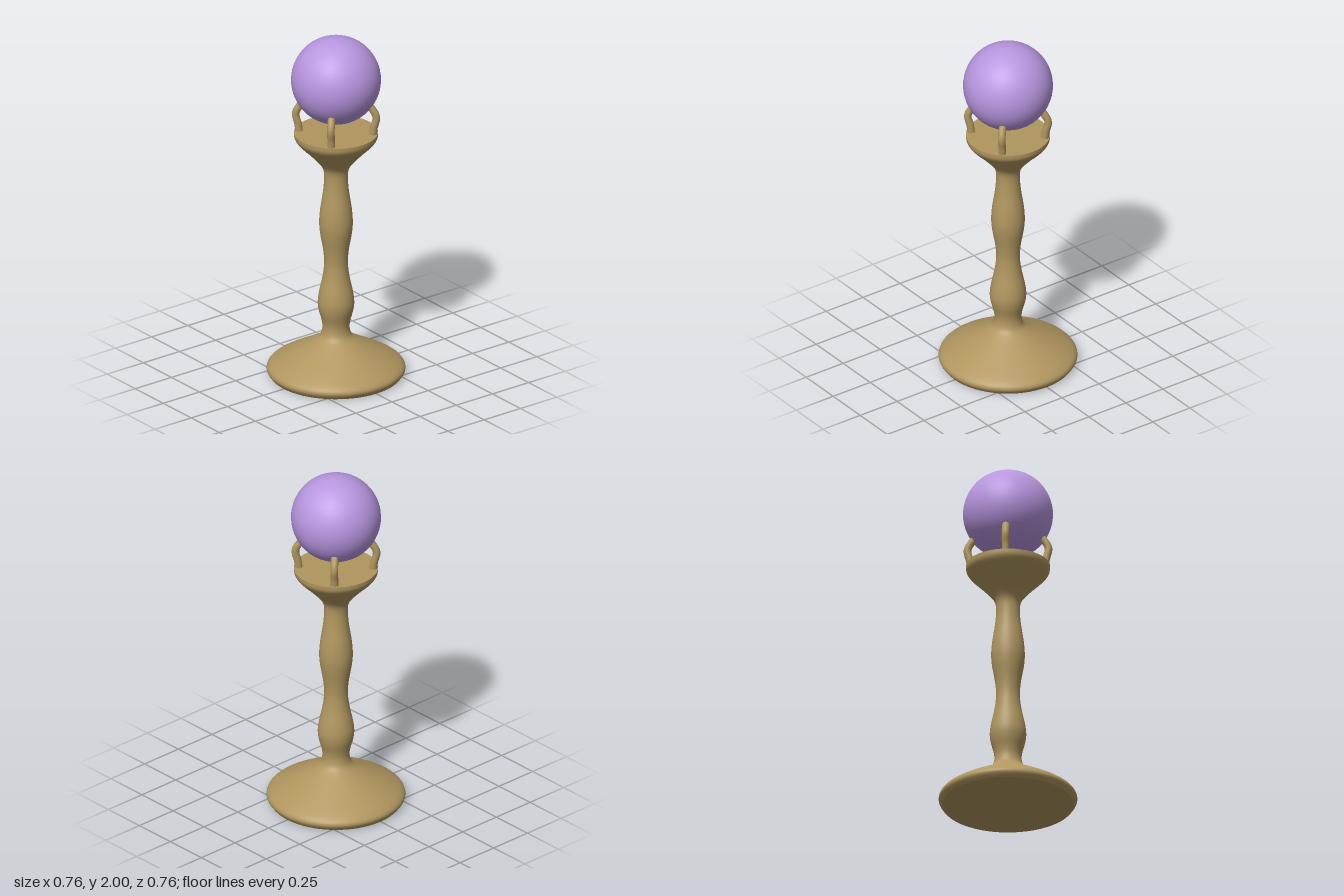
import * as THREE from 'three';

const brass = new THREE.MeshStandardMaterial({ color: 0xb0965f });
brass.name = 'brass';
const violet = new THREE.MeshStandardMaterial({ color: 0xb896e0 });
violet.name = 'violet';

function addMesh(parent, name, geometry, material) {
  const mesh = new THREE.Mesh(geometry, material);
  mesh.name = name;
  parent.add(mesh);
  return mesh;
}

const v2 = (p) => new THREE.Vector2(p[0], p[1]);

// Turned pedestal: foot, baluster stem and flared cup
function pedestalGeometry() {
  const curve = new THREE.SplineCurve([
    [0.36, 0.005], [0.379, 0.035], [0.365, 0.065], [0.3, 0.107], [0.2, 0.162], [0.125, 0.205],
    [0.088, 0.235], [0.075, 0.275], [0.078, 0.32], [0.094, 0.38], [0.1, 0.43],
    [0.093, 0.49], [0.074, 0.58], [0.065, 0.66], [0.07, 0.74], [0.087, 0.84],
    [0.092, 0.91], [0.086, 0.99], [0.071, 1.09], [0.065, 1.17], [0.071, 1.225],
    [0.1, 1.27], [0.15, 1.325], [0.2, 1.375], [0.226, 1.41], [0.23, 1.442],
  ].map(v2));
  return new THREE.LatheGeometry(curve.getPoints(110), 64);
}

// Bent claw in the x-y plane, leaning out and then in towards the ball
function addProng(parent, angle) {
  const prong = new THREE.Group();
  prong.name = 'prong';
  prong.rotation.y = angle;
  const path = new THREE.CatmullRomCurve3([
    [0.203, 1.43], [0.209, 1.48], [0.222, 1.535], [0.217, 1.56], [0.194, 1.598],
  ].map(([r, y]) => new THREE.Vector3(r, y, 0)));
  addMesh(prong, 'prongShaft', new THREE.TubeGeometry(path, 20, 0.021, 12), brass);
  const tip = addMesh(prong, 'prongTip', new THREE.SphereGeometry(0.021, 12, 8), brass);
  tip.position.set(0.194, 1.598, 0);
  parent.add(prong);
}

export function createModel() {
  const model = new THREE.Group();
  model.name = 'orbPedestal';

  addMesh(model, 'pedestal', pedestalGeometry(), brass);

  // Flat caps closing the turned body
  const underside = addMesh(model, 'underside', new THREE.CircleGeometry(0.36, 64), brass);
  underside.rotation.x = Math.PI / 2;
  underside.position.y = 0.005;
  const cupTop = addMesh(model, 'cupTop', new THREE.CircleGeometry(0.23, 64), brass);
  cupTop.rotation.x = -Math.PI / 2;
  cupTop.position.y = 1.442;

  // Four claws on the diagonals
  for (let i = 0; i < 4; i++) addProng(model, Math.PI / 4 + (i * Math.PI) / 2);

  const orb = addMesh(model, 'orb', new THREE.SphereGeometry(0.246, 48, 32), violet);
  orb.position.y = 1.754;

  return model;
}
